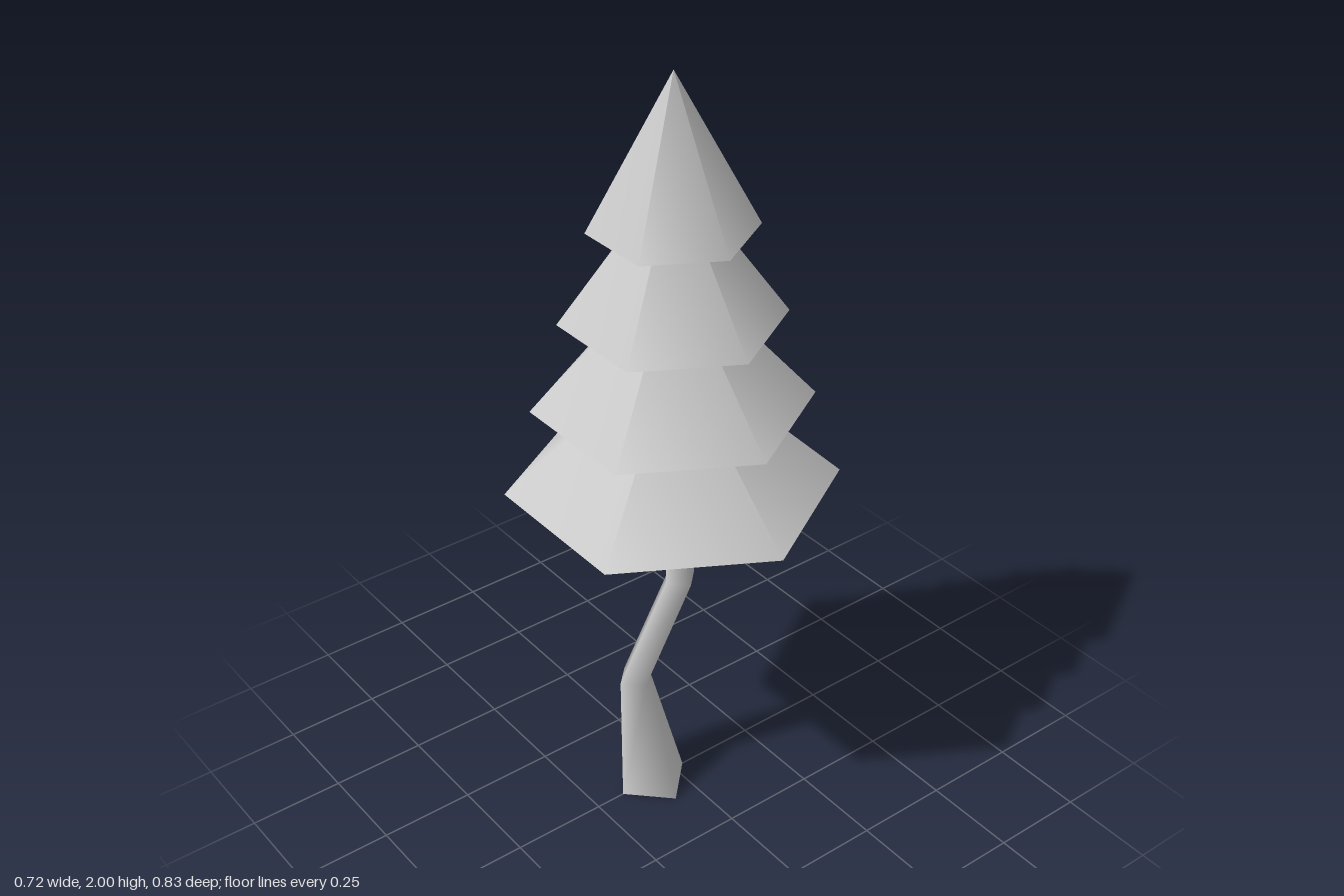
import * as THREE from 'three';

// Four-sided bent trunk lofted through rings of [x, y, z, radius]
function trunkGeometry(rings, sides) {
  const pos = [], index = [];
  rings.forEach(([x, y, z, r], i) => {
    for (let s = 0; s < sides; s++) {
      const a = (s / sides) * Math.PI * 2;
      pos.push(x + Math.sin(a) * r, y, z + Math.cos(a) * r);
      if (i === 0) continue;
      const n = (s + 1) % sides;
      const lo = (i - 1) * sides, hi = i * sides;
      index.push(lo + s, lo + n, hi + n, lo + s, hi + n, hi + s);
    }
  });
  const g = new THREE.BufferGeometry();
  g.setAttribute('position', new THREE.Float32BufferAttribute(pos, 3));
  g.setIndex(index);
  g.computeVertexNormals();
  return g;
}

export function createModel() {
  const tree = new THREE.Group();
  tree.name = 'pineTree';
  const grey = new THREE.MeshStandardMaterial({ color: 0xcccccc, side: THREE.DoubleSide });
  grey.name = 'paleGrey';

  const add = (name, geometry, x, y, z) => {
    const mesh = new THREE.Mesh(geometry, grey);
    mesh.name = name;
    mesh.position.set(x, y, z);
    tree.add(mesh);
    return mesh;
  };

  // Crooked trunk, running up inside the lowest foliage tier
  const rings = [
    [-0.07, 0, 0, 0.1],
    [-0.09, 0.33, -0.048, 0.047],
    [0.005, 0.65, 0.02, 0.045],
    [0.001, 1.34, 0.004, 0.022],
  ];
  add('trunk', trunkGeometry(rings, 4), 0, 0, 0);

  // Flat foot closing the trunk
  const foot = add('trunkFoot', new THREE.CircleGeometry(0.1, 4), -0.07, 0, 0);
  foot.rotation.x = Math.PI / 2;

  // Four open hexagonal foliage skirts, shrinking upward
  const height = 0.38;
  [0.415, 0.345, 0.274, 0.203].forEach((radius, i) => {
    const cone = new THREE.ConeGeometry(radius, height, 6, 1, true);
    add('foliageTier' + (i + 1), cone, 0, 0.93 + i * 0.23 + height / 2, 0);
  });

  return tree;
}
